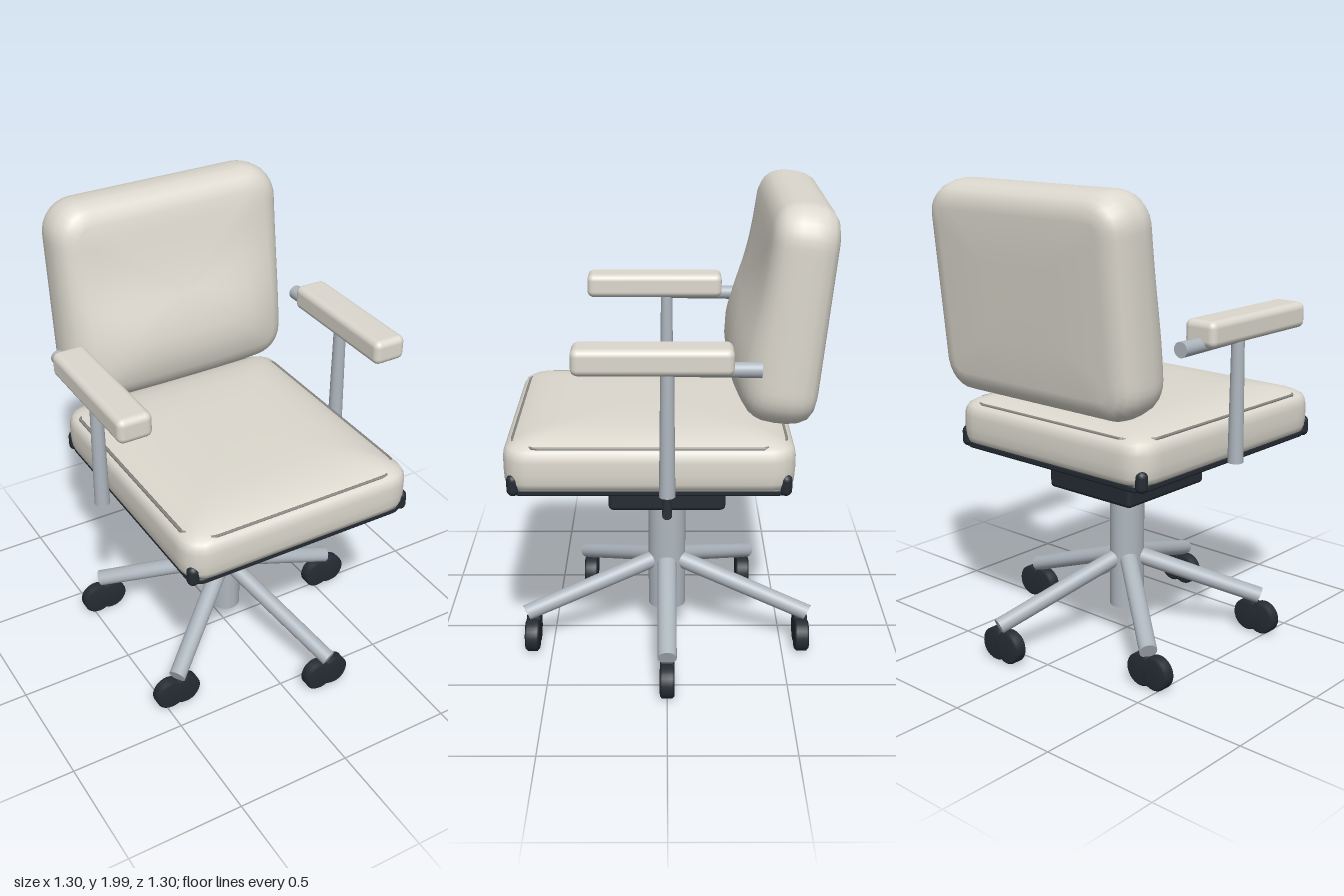
import * as THREE from 'three';
import { RoundedBoxGeometry } from 'three/addons/geometries/RoundedBoxGeometry.js';

const mat = (color) => new THREE.MeshStandardMaterial({ color });

// Rounded rectangle centred on the origin, starting mid-bottom, counter-clockwise
function roundedRect(w, h, r, Type = THREE.Shape) {
  const s = new Type();
  s.moveTo(0, -h);
  s.lineTo(w - r, -h);
  s.absarc(w - r, -h + r, r, -Math.PI / 2, 0);
  s.absarc(w - r, h - r, r, 0, Math.PI / 2);
  s.absarc(-w + r, h - r, r, Math.PI / 2, Math.PI);
  s.absarc(-w + r, -h + r, r, Math.PI, Math.PI * 1.5);
  s.lineTo(0, -h);
  return s;
}

// Cushion lofted through rounded rectangles; each ring is [inset, depth, scale]
function cushion(w, h, r, rings, warp) {
  const N = 112, pos = [], idx = [];
  rings.forEach(([inset, depth, scale = 1]) => {
    const pts = roundedRect(w - inset, h - inset, Math.max(r - inset, 0.02)).getSpacedPoints(N);
    for (let j = 0; j < N; j++) {
      const x = pts[j].x * scale, y = pts[j].y * scale;
      pos.push(x, y, depth + (warp ? warp(x, y, depth) : 0));
    }
  });
  for (let i = 0; i < rings.length - 1; i++) {
    for (let j = 0; j < N; j++) {
      const a = i * N + j, b = i * N + (j + 1) % N;
      idx.push(a, b, b + N, a, b + N, a + N);
    }
  }
  const g = new THREE.BufferGeometry();
  g.setAttribute('position', new THREE.Float32BufferAttribute(pos, 3));
  g.setIndex(idx);
  g.computeVertexNormals();
  return g;
}

// Straight round bar between two points
function bar(a, b, r0, r1, material, name) {
  const A = new THREE.Vector3(...a), B = new THREE.Vector3(...b);
  const d = B.clone().sub(A);
  const m = new THREE.Mesh(new THREE.CylinderGeometry(r1, r0, d.length(), 24), material);
  m.position.copy(A).add(B).multiplyScalar(0.5);
  m.quaternion.setFromUnitVectors(new THREE.Vector3(0, 1, 0), d.normalize());
  m.name = name;
  return m;
}

export function createModel() {
  const chair = new THREE.Group();
  chair.name = 'officeChair';
  const fabric = mat(0xdcd8ce), metal = mat(0xaeb6be), dark = mat(0x252c33), seam = mat(0x8c8a85);
  const add = (geo, material, name, x = 0, y = 0, z = 0, parent = chair) => {
    const m = new THREE.Mesh(geo, material);
    m.name = name;
    m.position.set(x, y, z);
    parent.add(m);
    return m;
  };

  // Seat cushion: upright sides and a softly domed top
  const seatGeo = cushion(0.52, 0.58, 0.1, [
    [0.04, 0.875, 0], [0.04, 0.875, 0.6], [0.04, 0.875], [0.012, 0.885], [0.003, 0.91], [0, 0.95], [0, 1.0],
    [0.004, 1.025], [0.015, 1.043], [0.032, 1.052], [0.05, 1.062], [0.05, 1.075, 0.93],
    [0.05, 1.088, 0.82], [0.05, 1.097, 0.65], [0.05, 1.1, 0.4], [0.05, 1.1, 0],
  ]).rotateX(-Math.PI / 2);
  add(seatGeo, fabric, 'seatCushion', 0, 0, 0.07);

  // Piping around the seat top, with cut corners
  const pipe = [];
  const px = 0.488, pz = 0.545, cut = 0.09;
  for (const [x, z] of [[px, pz - cut], [px - cut, pz], [-px + cut, pz], [-px, pz - cut],
    [-px, -pz + cut], [-px + cut, -pz], [px - cut, -pz], [px, -pz + cut]]) {
    pipe.push(new THREE.Vector3(x, 1.052, z));
  }
  const pipePath = new THREE.CurvePath();
  pipe.forEach((p, i) => pipePath.add(new THREE.LineCurve3(p, pipe[(i + 1) % pipe.length])));
  add(new THREE.TubeGeometry(pipePath, 160, 0.007, 6, true), seam, 'seatPiping', 0, 0, 0.07);

  // Dark frame under the seat, open in the middle
  const frame = roundedRect(0.49, 0.55, 0.05);
  frame.holes.push(roundedRect(0.39, 0.45, 0.03, THREE.Path));
  const frameGeo = new THREE.ExtrudeGeometry(frame, {
    depth: 0.015, bevelEnabled: true, bevelSize: 0.012, bevelThickness: 0.008, bevelSegments: 2,
  }).rotateX(-Math.PI / 2);
  add(frameGeo, dark, 'seatFrame', 0, 0.863, 0.07);
  for (const x of [-0.488, 0.488]) {
    for (const z of [-0.468, 0.608]) {
      add(new THREE.CapsuleGeometry(0.025, 0.04, 6, 14), dark, 'cornerClip', x, 0.9, z);
    }
  }

  // Backrest: leaning cushion with a lumbar bulge on the front
  const lumbar = (x, y, d) => d < 0.03 ? 0
    : 0.085 * Math.exp(-(((y + 0.2) / 0.27) ** 2)) * Math.max(0, 1 - (Math.abs(x) / 0.52) ** 3);
  const backGeo = cushion(0.52, 0.435, 0.14, [
    [0.1, -0.138, 0], [0.1, -0.138, 0.5], [0.1, -0.136], [0.055, -0.125], [0.025, -0.105], [0.007, -0.07],
    [0, -0.03], [0, 0.02], [0.006, 0.05], [0.018, 0.078], [0.035, 0.098], [0.06, 0.112], [0.09, 0.122],
    [0.09, 0.128, 0.85], [0.09, 0.132, 0.7], [0.09, 0.134, 0.5], [0.09, 0.134, 0.25], [0.09, 0.134, 0],
  ], lumbar);
  add(backGeo, fabric, 'backrest', 0, 1.56, -0.482).rotation.x = -0.1;

  // Armrests
  for (const s of [-1, 1]) {
    const arm = new THREE.Group();
    arm.name = s > 0 ? 'leftArmrest' : 'rightArmrest';
    add(new RoundedBoxGeometry(0.145, 0.105, 0.61, 4, 0.028), fabric, 'armPad', s * 0.578, 1.448, 0.055, arm);
    arm.add(bar([s * 0.578, 0.89, 0], [s * 0.578, 1.42, 0], 0.032, 0.026, metal, 'armPost'));
    arm.add(bar([s * 0.578, 1.405, 0.02], [s * 0.578, 1.405, -0.355], 0.026, 0.031, metal, 'armBar'));
    chair.add(arm);
  }

  // Tilt mechanism with its lever
  add(new RoundedBoxGeometry(0.46, 0.15, 0.49, 3, 0.02), dark, 'tiltMechanism', 0, 0.745, 0);
  chair.add(bar([0.2, 0.767, 0], [0.528, 0.787, 0], 0.016, 0.02, dark, 'tiltLever'));

  // Five-legged base, slightly deeper than wide
  const base = new THREE.Group();
  base.name = 'base';
  base.scale.z = 1.16;
  chair.add(base);
  base.add(bar([0, 0.125, 0], [0, 0.87, 0], 0.07, 0.07, metal, 'column'));
  for (let i = 0; i < 5; i++) {
    const a = i * Math.PI * 0.4, c = Math.cos(a), s = Math.sin(a);
    base.add(bar([0, 0.365, 0], [c * 0.555, 0.16, s * 0.555], 0.036, 0.034, metal, 'leg'));
    // Twin caster wheels
    for (const dx of [-0.034, 0.034]) {
      const profile = [[0, -0.026], [0.06, -0.026], [0.07, -0.018], [0.07, 0.018], [0.06, 0.026], [0, 0.026]]
        .map(([r, y]) => new THREE.Vector2(r, y));
      add(new THREE.LatheGeometry(profile, 28).rotateX(Math.PI / 2), dark, 'casterWheel',
        c * 0.55 + dx, 0.07, s * 0.53, base);
    }
  }
  return chair;
}
